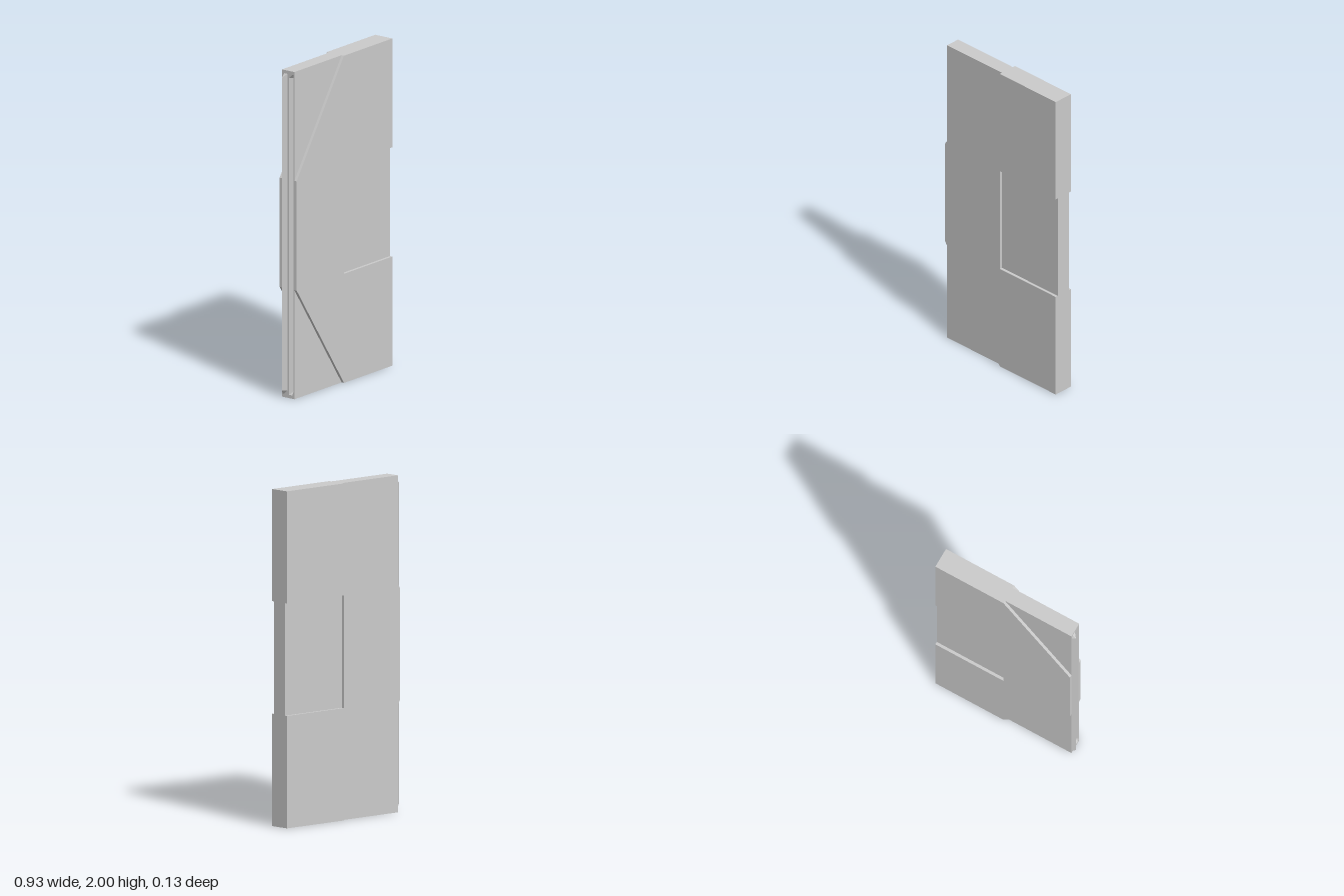
import * as THREE from 'three';

const LEFT = -0.445, RIGHT = 0.465;
const CORE = 0.046, STEP = 0.0175;

// Horizontal section of the slab; tip pushes the ridge out and the groove in.
function section(tip) {
  return [
    [LEFT, CORE], [RIGHT, CORE], [RIGHT, -CORE], [LEFT, -CORE],
    [LEFT, -0.04], [LEFT - tip, -0.03], [LEFT, -0.005],
    [LEFT, 0.005], [LEFT + tip, 0.03], [LEFT, 0.04],
  ];
}

// Slab lofted from bottom to top, with a tongue and groove along one edge.
function coreGeometry() {
  const levels = [[0, 0], [0.02, 0], [0.045, 0.022], [1.955, 0.022], [1.98, 0], [2, 0]];
  const rings = levels.map(([y, tip]) => section(tip).map(([x, z]) => [x, y, z]));
  const pos = [];
  const tri = (a, b, c) => pos.push(...a, ...b, ...c);
  const n = rings[0].length;
  for (let r = 0; r < rings.length - 1; r++) {
    for (let i = 0; i < n; i++) {
      const j = (i + 1) % n;
      const lo = rings[r], hi = rings[r + 1];
      tri(lo[i], lo[j], hi[j]);
      tri(lo[i], hi[j], hi[i]);
    }
  }
  // End caps, fanned from the far corner
  const bottom = rings[0], top = rings[rings.length - 1];
  for (let k = 2; k < n; k++) {
    const a = k, b = (k + 1) % n;
    tri(top[1], top[a], top[b]);
    tri(bottom[1], bottom[b], bottom[a]);
  }
  const geo = new THREE.BufferGeometry();
  geo.setAttribute('position', new THREE.Float32BufferAttribute(pos, 3));
  geo.computeVertexNormals();
  return geo;
}

// Raised facing: cut corners on one edge, rectangular notch on the other.
function facingGeometry() {
  const outline = [
    [0.005, 0], [RIGHT, 0], [RIGHT, 0.667], [0.005, 0.667],
    [0.005, 1.335], [RIGHT, 1.335], [RIGHT, 2], [0.005, 2],
    [LEFT, 1.335], [LEFT, 0.667],
  ].map(([x, y]) => new THREE.Vector2(x, y));
  return new THREE.ExtrudeGeometry(new THREE.Shape(outline), { depth: STEP, bevelEnabled: false });
}

export function createModel() {
  const group = new THREE.Group();
  group.name = 'doorPanel';
  const material = new THREE.MeshStandardMaterial({ color: 0xcccccc, flatShading: true });

  const add = (name, geometry, z = 0) => {
    const mesh = new THREE.Mesh(geometry, material);
    mesh.name = name;
    mesh.position.z = z;
    group.add(mesh);
  };

  add('coreSlab', coreGeometry());
  add('frontFacing', facingGeometry(), CORE);
  add('backFacing', facingGeometry(), -CORE - STEP);
  return group;
}
